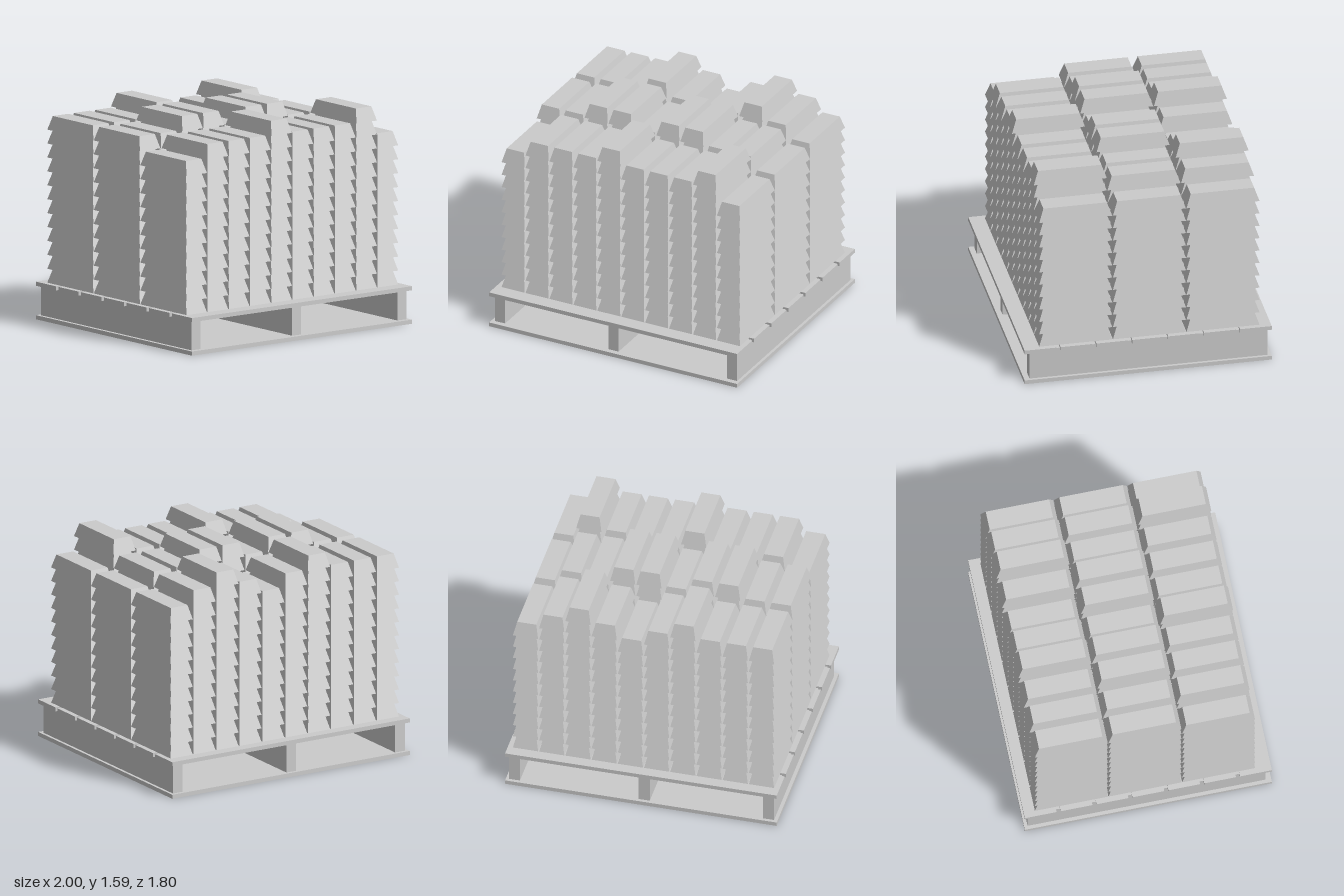
import * as THREE from 'three';

const material = new THREE.MeshStandardMaterial({ color: 0xcccccc, flatShading: true });

// Box given by its lower and upper corner
function slab(name, [x0, y0, z0], [x1, y1, z1]) {
  const mesh = new THREE.Mesh(new THREE.BoxGeometry(x1 - x0, y1 - y0, z1 - z0), material);
  mesh.position.set((x0 + x1) / 2, (y0 + y1) / 2, (z0 + z1) / 2);
  mesh.name = name;
  return mesh;
}

// Bar with four sloping sides, standing on y = 0
function ingotGeometry(width, height, depth, insetX, insetZ) {
  const geometry = new THREE.BoxGeometry(width, height, depth).translate(0, height / 2, 0);
  const p = geometry.attributes.position;
  for (let i = 0; i < p.count; i++) {
    if (p.getY(i) < height / 2) continue;
    p.setX(i, p.getX(i) - Math.sign(p.getX(i)) * insetX);
    p.setZ(i, p.getZ(i) - Math.sign(p.getZ(i)) * insetZ);
  }
  geometry.computeVertexNormals();
  return geometry;
}

function createPallet() {
  const pallet = new THREE.Group();
  pallet.name = 'pallet';
  pallet.add(slab('bottomDeck', [-1, 0, -0.9], [1, 0.03, 0.9]));
  for (const x of [-0.933, -0.018, 0.938]) {
    pallet.add(slab('stringer', [x - 0.041, 0.02, -0.875], [x + 0.041, 0.258, 0.86]));
  }
  // Seven deck boards with narrow gaps
  const gap = 0.03, board = (1.8 - 6 * gap) / 7;
  for (let i = 0; i < 7; i++) {
    const z = -0.9 + i * (board + gap);
    pallet.add(slab('deckBoard', [-1, 0.243, z], [1, 0.273, z + board]));
  }
  return pallet;
}

export function createModel() {
  const model = new THREE.Group();
  model.name = 'ingotPallet';
  model.add(createPallet());

  // Number of ingots in each stack, from -x to +x
  const rows = [
    { name: 'frontRow', z: 0.52, counts: [11, 12, 12, 12, 13, 12, 12, 12, 13, 11] },
    { name: 'middleRow', z: -0.017, counts: [12, 12, 13, 13, 12, 13, 13, 12, 12, 11] },
    { name: 'backRow', z: -0.553, counts: [12, 12, 12, 13, 12, 11, 12, 13, 12, 11] },
  ];
  const layer = 0.101;
  const geometry = ingotGeometry(0.186, layer, 0.532, 0.023, 0.035);
  for (const { name, z, counts } of rows) {
    const row = new THREE.Group();
    row.name = name;
    counts.forEach((count, column) => {
      const stack = new THREE.Group();
      stack.name = 'ingotStack';
      stack.position.set(-0.867 + column * 0.193, 0.273, z);
      for (let i = 0; i < count; i++) {
        const ingot = new THREE.Mesh(geometry, material);
        ingot.name = 'ingot';
        ingot.position.y = i * layer;
        stack.add(ingot);
      }
      row.add(stack);
    });
    model.add(row);
  }
  return model;
}
